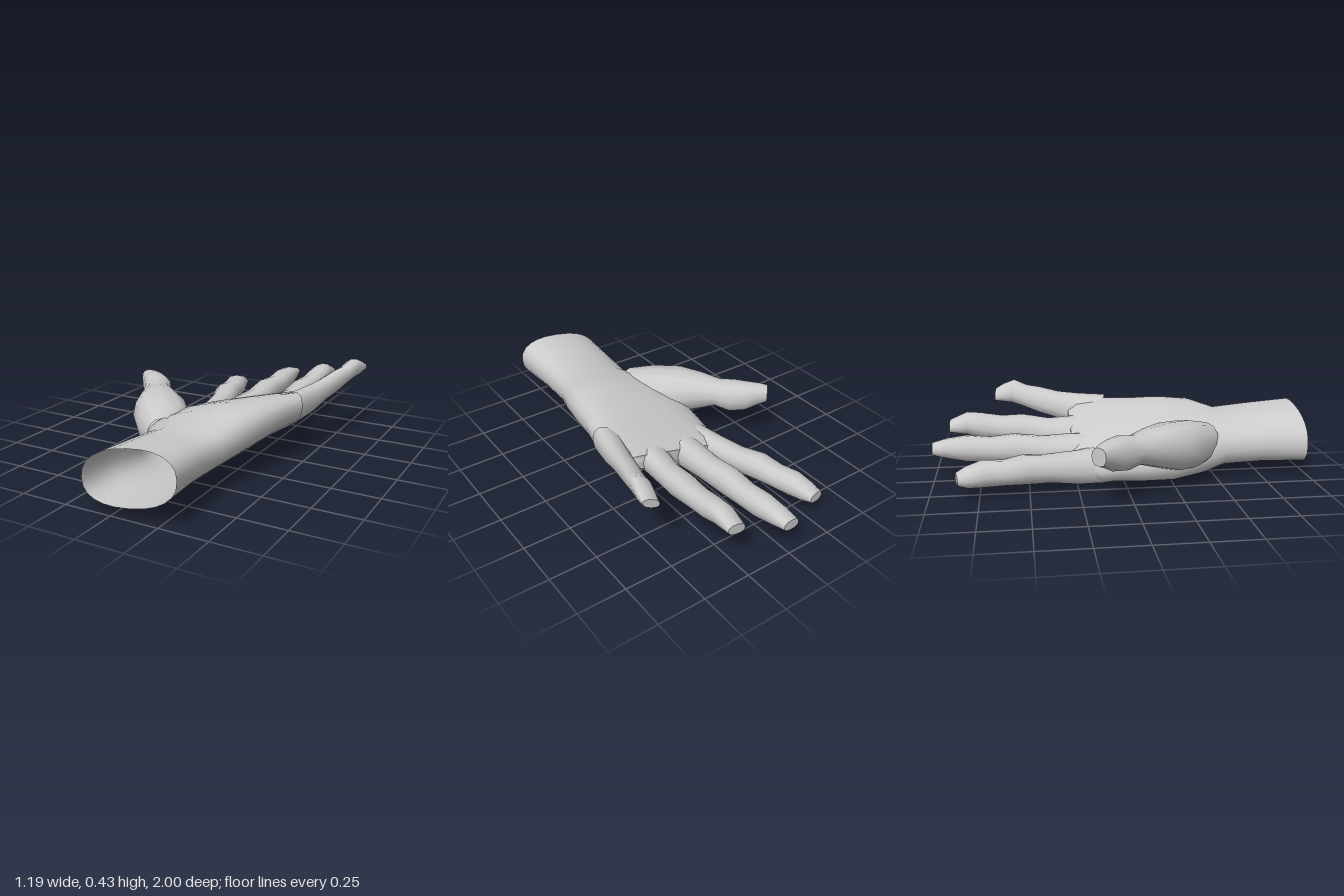
import * as THREE from 'three';
import { toCreasedNormals } from 'three/addons/utils/BufferGeometryUtils.js';

const skin = new THREE.MeshStandardMaterial({ color: 0xcccccc, side: THREE.DoubleSide });

// Skins a row of oval rings. Ring: [x, y, z, halfWidth, halfHeight, slope, bend].
// Rings face along the path, or straight down -z when "straight" is set.
function loft(name, rings, { sides = 12, straight = false, power = 0.85, crease = 0.9 } = {}) {
  const pos = [], index = [];
  const soft = v => Math.sign(v) * Math.abs(v) ** power;
  rings.forEach(([x, y, z, w, h, slope = 0, bend = 0], i) => {
    const a = rings[Math.max(i - 1, 0)], b = rings[Math.min(i + 1, rings.length - 1)];
    const dir = straight ? new THREE.Vector2(0, -1) : new THREE.Vector2(b[0] - a[0], b[2] - a[2]).normalize();
    for (let j = 0; j < sides; j++) {
      const t = (j / sides) * Math.PI * 2;
      const u = soft(Math.cos(t)), v = soft(Math.sin(t));
      pos.push(x - dir.y * u * w, y + v * h + slope * u * w + bend * u * u, z + dir.x * u * w);
    }
  });
  for (let i = 0; i < rings.length - 1; i++) {
    for (let j = 0; j < sides; j++) {
      const k = (j + 1) % sides, p = i * sides, q = p + sides;
      index.push(p + j, p + k, q + j, p + k, q + k, q + j);
    }
  }
  // closed far end, open near end
  const last = rings[rings.length - 1], base = (rings.length - 1) * sides;
  pos.push(last[0], last[1], last[2]);
  for (let j = 0; j < sides; j++) index.push(base + j, base + ((j + 1) % sides), base + sides);
  const geo = new THREE.BufferGeometry();
  geo.setAttribute('position', new THREE.Float32BufferAttribute(pos, 3));
  geo.setIndex(index);
  const mesh = new THREE.Mesh(toCreasedNormals(geo, crease), skin);
  mesh.name = name;
  return mesh;
}

export function createModel() {
  const hand = new THREE.Group();
  hand.name = 'hand';

  // open wrist running into the cupped palm
  hand.add(loft('wristAndPalm', [
    [0.10, 0.20, 1.00, 0.25, 0.14, 0.16],
    [0.10, 0.195, 0.78, 0.235, 0.13, 0.16],
    [0.10, 0.18, 0.56, 0.23, 0.125, 0.16],
    [0.09, 0.19, 0.42, 0.29, 0.145, 0.24],
    [0.08, 0.18, 0.25, 0.335, 0.145, 0.26, 0.01],
    [0.09, 0.17, 0.10, 0.345, 0.135, 0.27, 0.02],
    [0.115, 0.16, -0.03, 0.35, 0.125, 0.28, 0.03],
    [0.13, 0.15, -0.13, 0.355, 0.115, 0.28, 0.03],
    [0.135, 0.16, -0.21, 0.345, 0.09, 0.27, 0.03],
    [0.13, 0.165, -0.26, 0.30, 0.05, 0.26, 0.02],
  ], { sides: 24, straight: true }));

  // fingers, from knuckle to blunt tip
  const fingers = {
    indexFinger: [
      [-0.12, 0.10, -0.10, 0.085, 0.09, 0.2],
      [-0.16, 0.10, -0.26, 0.075, 0.08, 0.2],
      [-0.19, 0.11, -0.40, 0.072, 0.068, 0.15],
      [-0.225, 0.12, -0.52, 0.075, 0.072, 0.1],
      [-0.25, 0.115, -0.63, 0.07, 0.06, 0.1],
      [-0.27, 0.12, -0.73, 0.068, 0.064, 0.1],
      [-0.29, 0.11, -0.81, 0.058, 0.05, 0.1],
      [-0.30, 0.105, -0.86, 0.048, 0.027, 0.1],
    ],
    middleFinger: [
      [0.02, 0.13, -0.10, 0.10, 0.09, 0.2],
      [0.02, 0.14, -0.27, 0.085, 0.085, 0.2],
      [0.02, 0.15, -0.42, 0.075, 0.07, 0.15],
      [0.02, 0.165, -0.57, 0.074, 0.075, 0.12],
      [0.018, 0.165, -0.70, 0.068, 0.062, 0.12],
      [0.016, 0.175, -0.82, 0.067, 0.066, 0.12],
      [0.01, 0.18, -0.92, 0.058, 0.05, 0.1],
      [0.005, 0.18, -1.00, 0.048, 0.028, 0.1],
    ],
    ringFinger: [
      [0.23, 0.18, -0.08, 0.10, 0.09, 0.3],
      [0.235, 0.185, -0.26, 0.085, 0.08, 0.3],
      [0.25, 0.19, -0.38, 0.074, 0.068, 0.25],
      [0.263, 0.21, -0.52, 0.074, 0.074, 0.2],
      [0.266, 0.22, -0.64, 0.068, 0.06, 0.2],
      [0.268, 0.235, -0.75, 0.066, 0.064, 0.2],
      [0.27, 0.25, -0.83, 0.06, 0.056, 0.2],
      [0.27, 0.235, -0.925, 0.05, 0.028, 0.2],
    ],
    littleFinger: [
      [0.40, 0.26, -0.05, 0.075, 0.09, 0.4],
      [0.435, 0.275, -0.20, 0.068, 0.08, 0.4],
      [0.465, 0.30, -0.32, 0.058, 0.066, 0.4],
      [0.495, 0.325, -0.42, 0.055, 0.064, 0.4],
      [0.52, 0.345, -0.50, 0.052, 0.054, 0.4],
      [0.54, 0.37, -0.57, 0.052, 0.058, 0.4],
      [0.552, 0.36, -0.63, 0.05, 0.042, 0.4],
      [0.557, 0.35, -0.675, 0.044, 0.024, 0.4],
    ],
  };
  for (const [name, rings] of Object.entries(fingers)) hand.add(loft(name, rings));

  // thumb with its broad fleshy base
  hand.add(loft('thumb', [
    [-0.05, 0.19, 0.46, 0.09, 0.10],
    [-0.13, 0.20, 0.34, 0.14, 0.125],
    [-0.23, 0.215, 0.22, 0.145, 0.125],
    [-0.31, 0.235, 0.11, 0.105, 0.10],
    [-0.375, 0.245, 0.02, 0.08, 0.072],
    [-0.42, 0.245, -0.05, 0.082, 0.088],
    [-0.475, 0.25, -0.105, 0.07, 0.08],
    [-0.53, 0.265, -0.15, 0.052, 0.06],
    [-0.565, 0.27, -0.18, 0.042, 0.046],
  ]));

  return hand;
}
